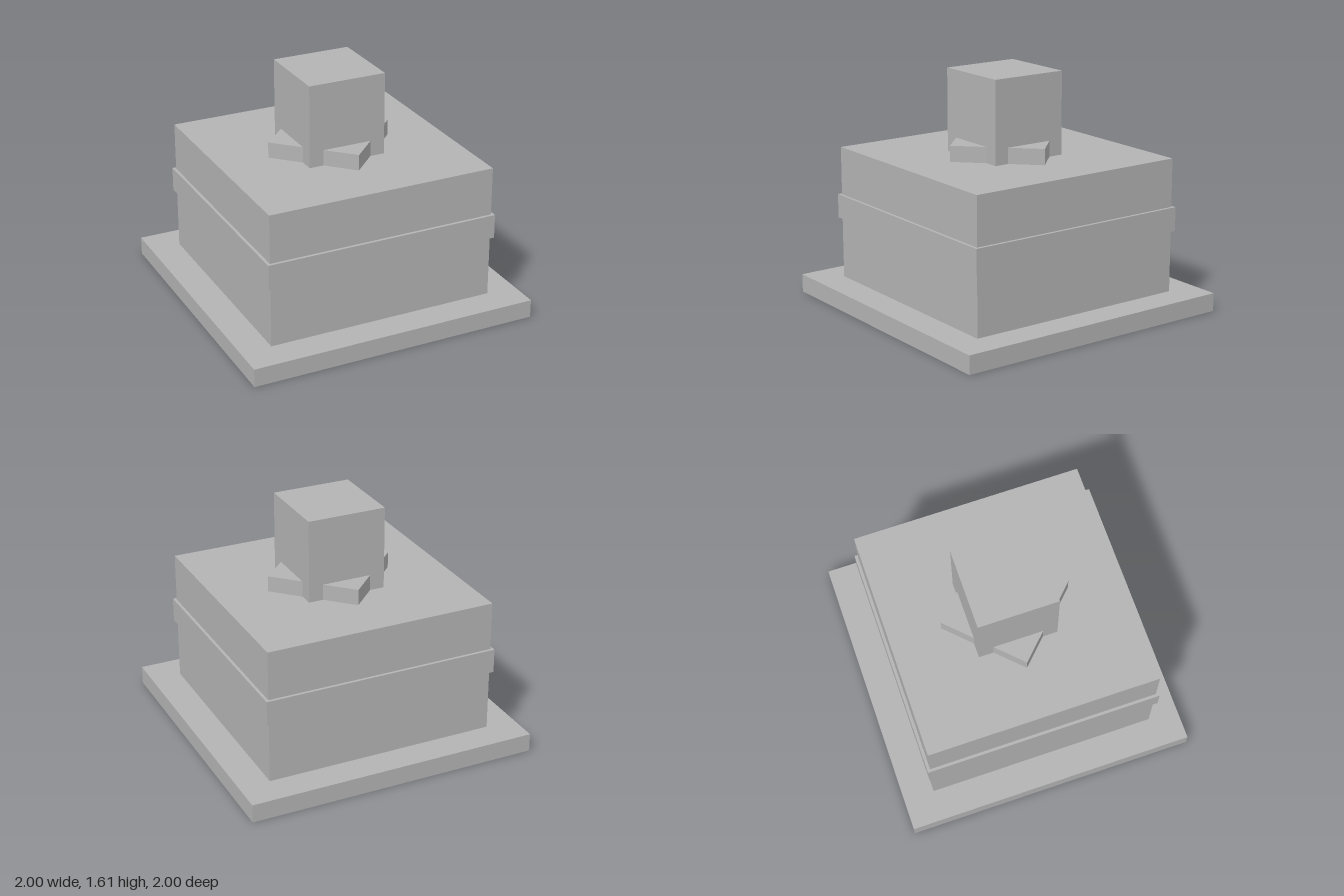
import * as THREE from 'three';

export function createModel() {
  const model = new THREE.Group();
  model.name = 'tieredBox';
  const grey = new THREE.MeshStandardMaterial({ color: 0xb3b3b3 });
  grey.name = 'plain grey';

  // Square slab of a given width between two heights, turned about y
  function slab(name, width, bottom, top, turn = 0) {
    const mesh = new THREE.Mesh(new THREE.BoxGeometry(width, top - bottom, width), grey);
    mesh.name = name;
    mesh.position.y = (bottom + top) / 2;
    mesh.rotation.y = turn;
    model.add(mesh);
  }

  slab('basePlate', 2, 0, 0.125);
  slab('mainBody', 1.58, 0.125, 1.04);
  slab('bodyBand', 1.62, 0.545, 0.71);
  // Low collar turned 45 degrees, its corners showing around the top block
  slab('turnedCollar', 0.44 * Math.SQRT2, 1.04, 1.148, Math.PI / 4);
  slab('topBlock', 0.54, 1.04, 1.605);

  return model;
}
